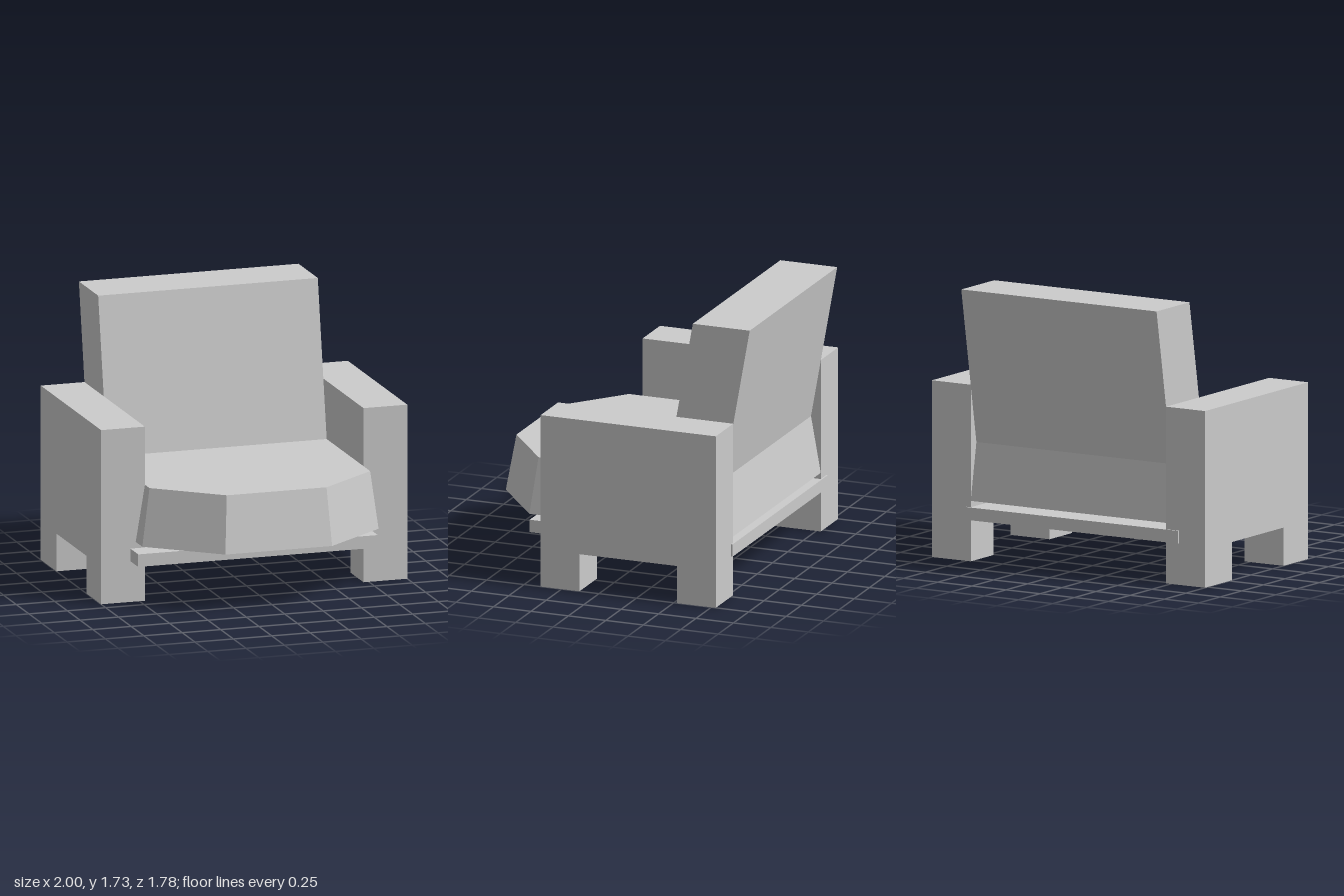
import * as THREE from 'three';
import { ConvexGeometry } from 'three/addons/geometries/ConvexGeometry.js';

const material = new THREE.MeshStandardMaterial({ color: 0xcccccc, flatShading: true });

function part(name, geometry) {
  const mesh = new THREE.Mesh(geometry, material);
  mesh.name = name;
  return mesh;
}

// Side profile of [z, y] points, extruded across from x0 to x1
function sideExtrude(profile, x0, x1) {
  const shape = new THREE.Shape(profile.map(([z, y]) => new THREE.Vector2(z, y)));
  const geometry = new THREE.ExtrudeGeometry(shape, { depth: x1 - x0, bevelEnabled: false });
  return geometry.rotateY(-Math.PI / 2).translate(x1, 0, 0);
}

// Armrest block with a notch underneath that leaves a front and a rear leg
function arm(x0, x1, front, notchFront, notchBack) {
  const back = -0.78, top = 1.11, notch = 0.24;
  return sideExtrude([
    [back, 0], [notchBack, 0], [notchBack, notch], [notchFront, notch],
    [notchFront, 0], [front, 0], [front, top], [back, top],
  ], x0, x1);
}

export function createModel() {
  const chair = new THREE.Group();
  chair.name = 'armchair';

  // Armrests
  chair.add(part('leftArm', arm(0.715, 1, 0.39, 0.13, -0.52)));
  chair.add(part('rightArm', arm(-1, -0.715, 0.41, 0.125, -0.47)));

  // Leaning backrest, standing on the seat
  chair.add(part('backrest', sideExtrude(
    [[-0.715, 0.74], [-0.335, 0.74], [-0.51, 1.725], [-0.89, 1.725]], -0.715, 0.715)));

  // Seat cushion: angled front, flaring towards the bottom
  const seatTop = [[-0.715, -0.715], [-0.715, 0.5], [-0.32, 0.825], [0.33, 0.825], [0.715, 0.52], [0.715, -0.715]];
  const seatBottom = [[-0.775, -0.78], [-0.775, 0.54], [-0.35, 0.89], [0.345, 0.89], [0.755, 0.565], [0.755, -0.78]];
  chair.add(part('seat', new ConvexGeometry([
    ...seatTop.map(([x, z]) => new THREE.Vector3(x, 0.74, z)),
    ...seatBottom.map(([x, z]) => new THREE.Vector3(x, 0.38, z)),
  ])));

  // Thin base board under the seat
  const board = part('baseBoard', new THREE.BoxGeometry(1.56, 0.08, 1.355));
  board.position.set(-0.03, 0.3, -0.1125);
  chair.add(board);

  return chair;
}
